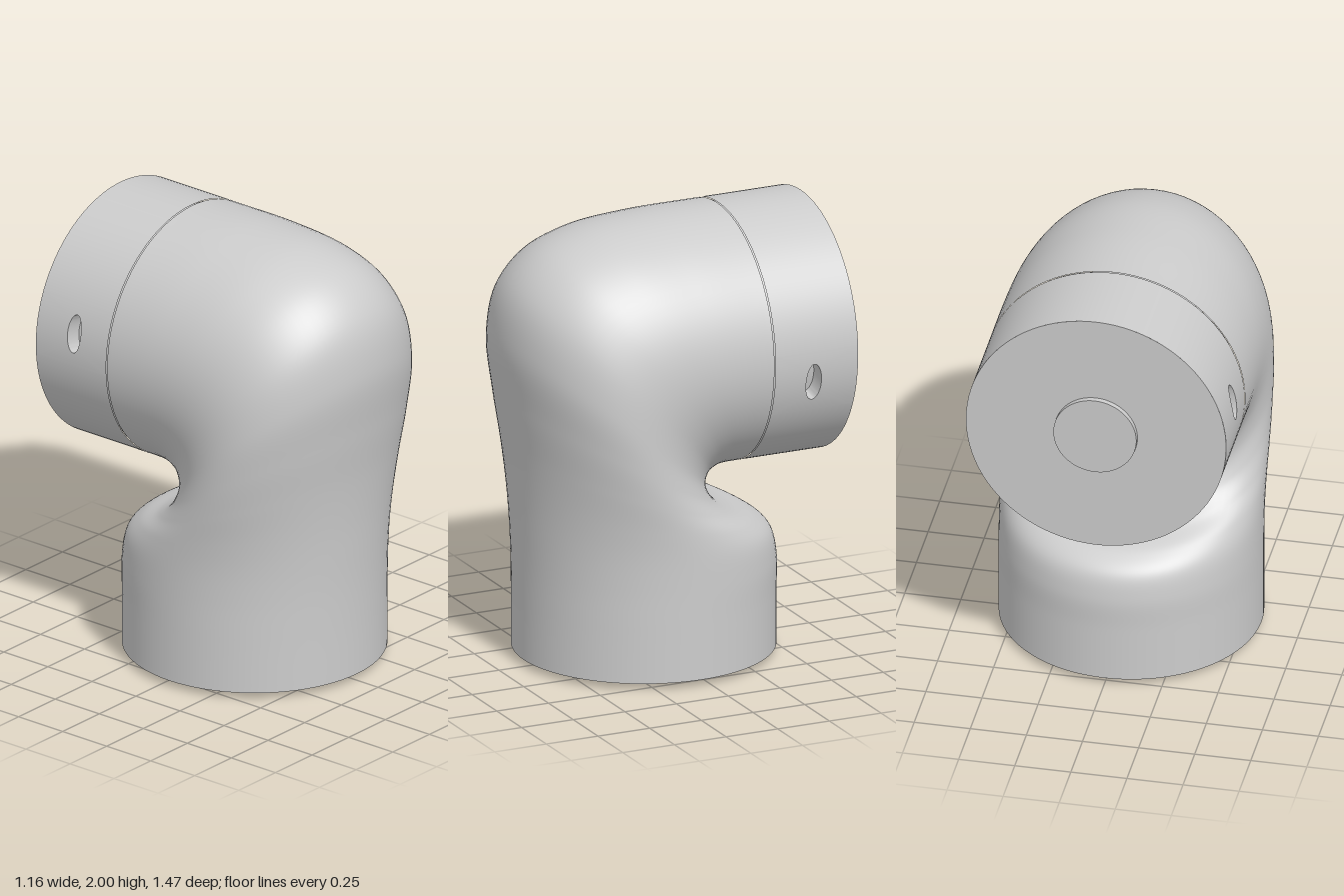
import * as THREE from 'three';
import { toCreasedNormals } from 'three/addons/utils/BufferGeometryUtils.js';

const R = 0.58, AXIS_Y = 1.42, BASE_Z = 0.05;
const material = new THREE.MeshStandardMaterial({ color: 0xcccccc });

function add(parent, name, geometry, x = 0, y = 0, z = 0) {
  const mesh = new THREE.Mesh(geometry, material);
  mesh.name = name;
  mesh.position.set(x, y, z);
  parent.add(mesh);
  return mesh;
}

// Surface of closed rings: point(row, angle) gives each vertex
function ringSurface(rows, cols, point) {
  const pos = [], idx = [];
  for (let j = 0; j <= rows; j++)
    for (let i = 0; i < cols; i++) pos.push(...point(j, (i / cols) * Math.PI * 2));
  for (let j = 0; j < rows; j++)
    for (let i = 0; i < cols; i++) {
      const n = (i + 1) % cols;
      const a = j * cols + i, b = j * cols + n, c = a + cols, d = b + cols;
      idx.push(a, b, d, a, d, c);
    }
  const g = new THREE.BufferGeometry();
  g.setAttribute('position', new THREE.Float32BufferAttribute(pos, 3));
  g.setIndex(idx);
  g.computeVertexNormals();
  return g;
}

// Bent housing: elliptical sections spanning an inner and an outer profile [z, y]
function elbowGeometry() {
  const inner = [[-0.53, 0.03], [-0.53, 0.28], [-0.53, 0.44], [-0.50, 0.55], [-0.42, 0.615],
    [-0.30, 0.66], [-0.21, 0.71], [-0.17, 0.77], [-0.185, 0.815], [-0.22, 0.835],
    [-0.25, 0.84], [-0.28, 0.84], [-0.305, 0.84]];
  const outer = [[0.63, 0.03], [0.63, 0.28], [0.633, 0.46], [0.64, 0.62], [0.65, 0.78],
    [0.67, 0.98], [0.705, 1.22], [0.735, 1.5], [0.69, 1.73], [0.56, 1.88],
    [0.35, 1.965], [0.05, 1.997], [-0.305, 2.0]];
  const curve = (pts) => new THREE.CatmullRomCurve3(pts.map(([z, y]) => new THREE.Vector3(0, y, z)));
  const ci = curve(inner), co = curve(outer), rows = 96;
  return ringSurface(rows, 80, (j, t) => {
    const p = ci.getPoint(j / rows), q = co.getPoint(j / rows);
    const k = (1 + Math.cos(t)) / 2;
    return [R * Math.sin(t), p.y + (q.y - p.y) * k, p.z + (q.z - p.z) * k];
  });
}

const Z0 = -0.71, Z1 = -0.311, HOLE_Z = -0.5, SPAN = 0.25;

// Piece of the collar wall around +x with a recessed oval hole
function holePatchGeometry() {
  const wallRows = 6;
  const g = ringSurface(wallRows + 2, 48, (j, t) => {
    const c = Math.cos(t), s = Math.sin(t), m = Math.max(Math.abs(c), Math.abs(s));
    const ey = c * 0.087 / R, ez = s * 0.037;
    const ry = (c / m) * SPAN, rz = (s / m) * (s > 0 ? Z1 - HOLE_Z : HOLE_Z - Z0);
    const k = Math.min(j / wallRows, 1);
    const shrink = j === wallRows + 2 ? 0 : 1;
    const a = (ry + (ey - ry) * k) * shrink;
    const z = HOLE_Z + (rz + (ez - rz) * k) * shrink;
    const r = j > wallRows ? R - 0.08 : R;
    return [r * Math.cos(a), R * Math.sin(a), z];
  });
  return toCreasedNormals(g, 0.6);
}

// Cylinder lying along z
function lyingCylinder(r, length, segments, ...rest) {
  return new THREE.CylinderGeometry(r, r, length, segments, 1, ...rest).rotateX(Math.PI / 2);
}

export function createModel() {
  const model = new THREE.Group();
  model.name = 'elbowJoint';

  add(model, 'elbowHousing', elbowGeometry());
  add(model, 'baseFace', new THREE.CircleGeometry(R, 80).rotateX(Math.PI / 2), 0, 0.03, BASE_Z);
  add(model, 'baseBoss', new THREE.CylinderGeometry(0.285, 0.285, 0.04, 64), 0, 0.02, BASE_Z);

  // Seam between housing and collar
  add(model, 'seamRing', lyingCylinder(R - 0.008, 0.03, 80), 0, AXIS_Y, -0.308);

  // End collar, turned slightly so that its two holes lie on a tilted diameter
  const collar = new THREE.Group();
  collar.name = 'endCollar';
  collar.position.y = AXIS_Y;
  collar.rotation.z = -0.18;
  model.add(collar);
  const wall = lyingCylinder(R, Z1 - Z0, 48, true, Math.PI / 2 + SPAN, Math.PI - 2 * SPAN)
    .translate(0, 0, (Z0 + Z1) / 2);
  const patch = holePatchGeometry();
  for (const turn of [0, Math.PI]) {
    add(collar, 'collarWall', wall).rotation.z = turn;
    add(collar, 'collarHole', patch).rotation.z = turn;
  }
  add(collar, 'collarFace', new THREE.CircleGeometry(R, 96).rotateY(Math.PI), 0, 0, Z0);
  add(collar, 'collarBoss', lyingCylinder(0.185, 0.035, 64), 0, 0, -0.7175);

  return model;
}
